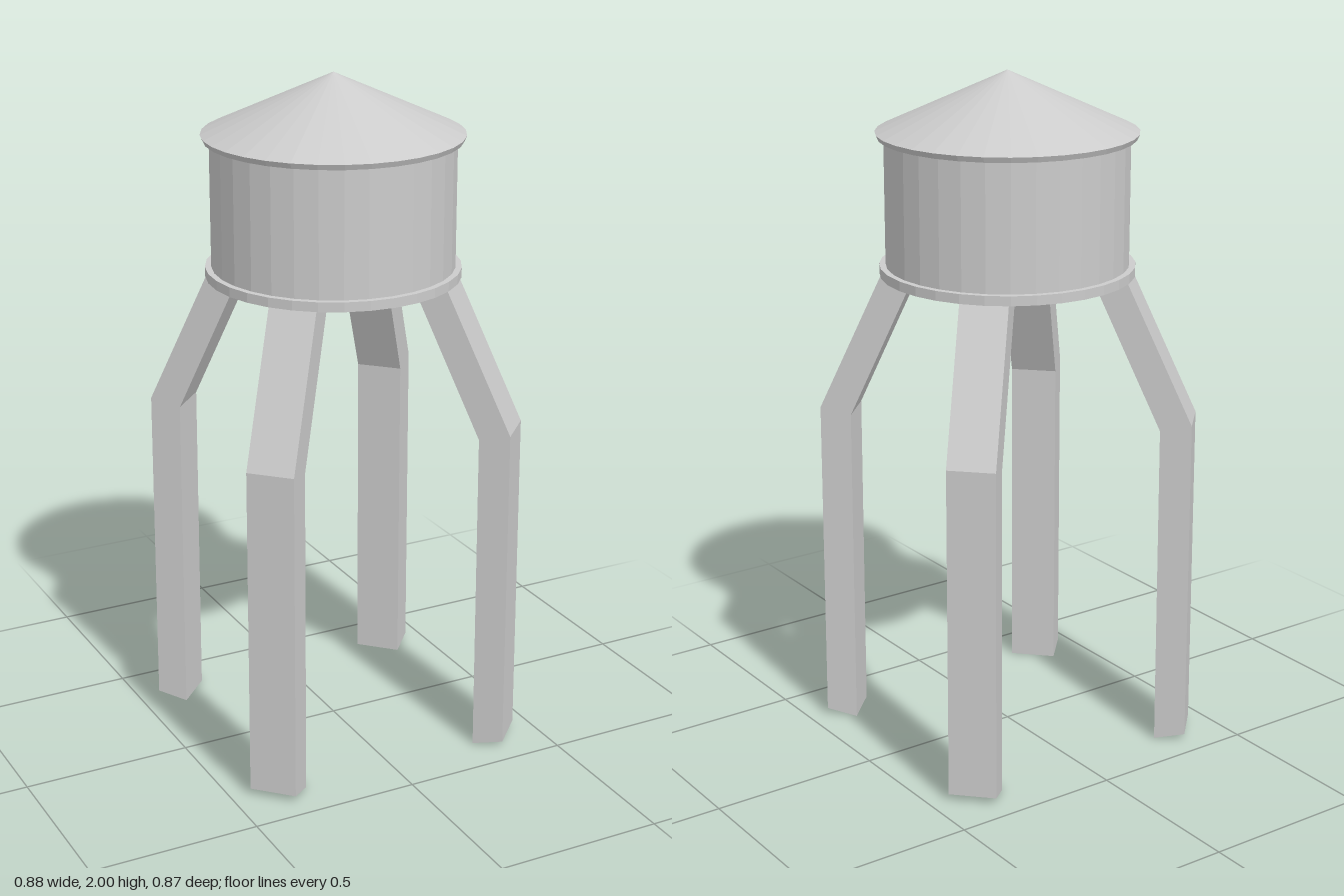
import * as THREE from 'three';

const SIDES = 32;
const material = new THREE.MeshStandardMaterial({ color: 0xcccccc, flatShading: true, side: THREE.DoubleSide });

function addPart(parent, name, geometry) {
  const mesh = new THREE.Mesh(geometry, material);
  mesh.name = name;
  parent.add(mesh);
  return mesh;
}

// Faceted surface of revolution from [radius, height] pairs
function turned(points) {
  return new THREE.LatheGeometry(points.map(([r, y]) => new THREE.Vector2(r, y)), SIDES);
}

// Bent leg: side profile [distance from axis, height] extruded to the leg's width
function legGeometry() {
  const width = 0.138;
  const profile = [
    [0.46, 0], [0.551, 0.02], [0.547, 1.0], [0.353, 1.42], [0.256, 1.42], [0.456, 0.98],
  ];
  const shape = new THREE.Shape(profile.map(([r, y]) => new THREE.Vector2(r, y)));
  const geometry = new THREE.ExtrudeGeometry(shape, { depth: width, bevelEnabled: false });
  return geometry.translate(0, 0, -width / 2);
}

export function createModel() {
  const model = new THREE.Group();
  model.name = 'waterTower';

  // Tank: wall, floor with a round opening, and base hoop
  const tank = new THREE.Group();
  tank.name = 'tank';
  model.add(tank);
  addPart(tank, 'tankWall', turned([[0.35, 1.42], [0.35, 1.815]]));
  addPart(tank, 'tankFloor', turned([[0.11, 1.42], [0.355, 1.42]]));
  addPart(tank, 'baseHoop', turned([[0.35, 1.417], [0.368, 1.417], [0.368, 1.445], [0.35, 1.445]]));

  // Conical roof with a thin eave
  addPart(model, 'roof', turned([[0.345, 1.812], [0.368, 1.812], [0.375, 1.828], [0, 2]]));

  // Four legs, mirrored across both axes
  const spread = THREE.MathUtils.degToRad(44.4);
  const leg = legGeometry();
  const legs = {
    frontLeftLeg: spread,
    frontRightLeg: Math.PI - spread,
    backRightLeg: Math.PI + spread,
    backLeftLeg: -spread,
  };
  for (const [name, angle] of Object.entries(legs)) {
    addPart(model, name, leg).rotation.y = -angle;
  }

  return model;
}
